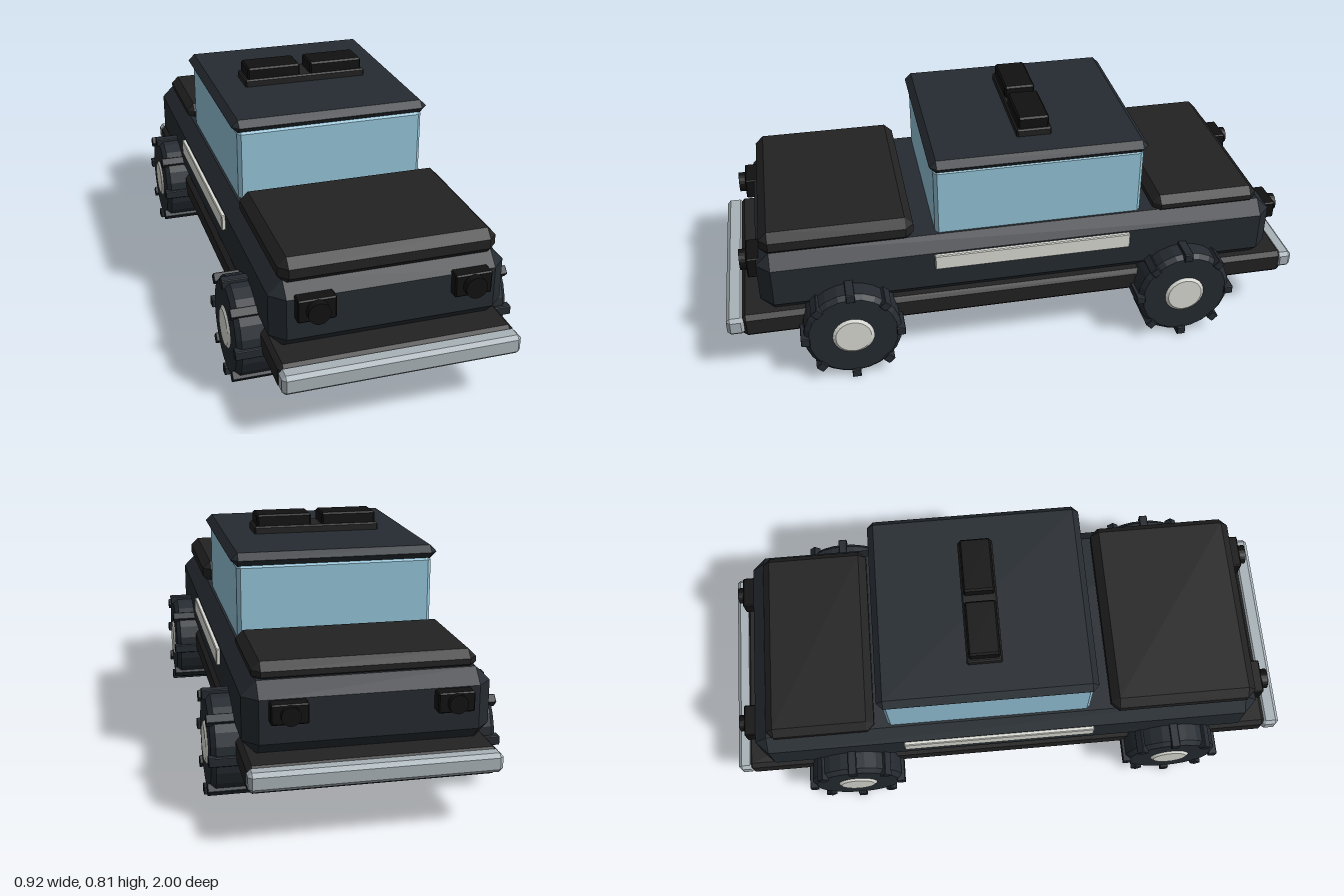
import * as THREE from 'three';
import { ConvexGeometry } from 'three/addons/geometries/ConvexGeometry.js';

const mat = (color) => new THREE.MeshStandardMaterial({ color, flatShading: true });
const paint = mat(0x252b31), black = mat(0x222222), dark = mat(0x111111);
const glass = mat(0x94c4d8), chrome = mat(0xa8b2b8), pale = mat(0xdcdcd6);

// Box with every edge chamfered by b, given as [min, max] per axis
function chamferBox(name, material, [x0, x1], [y0, y1], [z0, z1], b) {
  const h = [(x1 - x0) / 2, (y1 - y0) / 2, (z1 - z0) / 2];
  const pts = [];
  for (let axis = 0; axis < 3; axis++)
    for (const sx of [-1, 1]) for (const sy of [-1, 1]) for (const sz of [-1, 1]) {
      const p = [sx, sy, sz].map((s, i) => s * (i === axis ? h[i] : h[i] - b));
      pts.push(new THREE.Vector3(...p));
    }
  const mesh = new THREE.Mesh(new ConvexGeometry(pts), material);
  mesh.name = name;
  mesh.position.set((x0 + x1) / 2, (y0 + y1) / 2, (z0 + z1) / 2);
  return mesh;
}

// Turned part around the x axis from [radius, x] pairs
function turned(name, material, profile, sides) {
  const pts = profile.map(([r, x]) => new THREE.Vector2(r, x));
  const mesh = new THREE.Mesh(new THREE.LatheGeometry(pts, sides), material);
  mesh.name = name;
  mesh.rotation.z = -Math.PI / 2;
  return mesh;
}

function wheel(name) {
  const g = new THREE.Group();
  g.name = name;
  g.add(turned('tire', paint,
    [[0, -0.07], [0.15, -0.07], [0.165, -0.055], [0.165, 0.055], [0.15, 0.07], [0, 0.07]], 24));
  g.add(turned('hub', pale,
    [[0, -0.077], [0.06, -0.077], [0.07, -0.07], [0.07, 0.07], [0.06, 0.077], [0, 0.077]], 24));
  // Tread blocks
  for (let i = 0; i < 8; i++) {
    const a = (i * Math.PI) / 4;
    const block = chamferBox('tread', paint, [-0.08, 0.08], [-0.015, 0.015], [-0.015, 0.015], 0.002);
    block.position.set(0, 0.16 * Math.cos(a), 0.16 * Math.sin(a));
    block.rotation.x = a;
    g.add(block);
  }
  return g;
}

// Square housing with a round lens, facing dir along z
function lamp(name, x, y, z, dir) {
  const g = new THREE.Group();
  g.name = name;
  const hh = dir > 0 ? 0.037 : 0.031, hw = dir > 0 ? 0.06 : 0.056;
  g.add(chamferBox('lampHousing', dark, [-hw, hw], [-hh, hh], [-0.04, 0.035], 0.004));
  const lens = new THREE.Mesh(new THREE.CylinderGeometry(hh - 0.002, hh - 0.002, 0.05, 20), dark);
  lens.name = 'lampLens';
  lens.rotation.x = Math.PI / 2;
  lens.position.z = dir * 0.033;
  g.add(lens);
  g.position.set(x, y, z);
  return g;
}

export function createModel() {
  const car = new THREE.Group();
  car.name = 'car';
  const box = (...args) => car.add(chamferBox(...args));

  // Body and chassis
  box('chassis', black, [-0.375, 0.375], [0.165, 0.25], [-0.965, 0.95], 0.015);
  box('body', paint, [-0.375, 0.375], [0.245, 0.47], [-0.9, 0.88], 0.045);
  box('hood', black, [-0.345, 0.345], [0.455, 0.542], [0.355, 0.862], 0.028);
  box('trunk', black, [-0.34, 0.34], [0.45, 0.517], [-0.85, -0.475], 0.025);

  // Cabin and roof
  box('cabinGlass', glass, [-0.322, 0.322], [0.45, 0.71], [-0.43, 0.283], 0.012);
  box('roof', paint, [-0.34, 0.34], [0.702, 0.747], [-0.443, 0.295], 0.022);
  box('roofLightBase', black, [-0.218, 0.218], [0.74, 0.772], [-0.135, -0.015], 0.005);

  // Bumpers
  box('frontBumper', chrome, [-0.377, 0.377], [0.18, 0.245], [0.94, 1], 0.012);
  box('rearBumper', chrome, [-0.377, 0.377], [0.185, 0.245], [-1, -0.945], 0.012);

  // Mirrored details
  for (const s of [-1, 1]) {
    const side = s > 0 ? 'left' : 'right';
    const cx = s * 0.113;
    box(side + 'RoofLight', dark, [cx - 0.095, cx + 0.095], [0.765, 0.811], [-0.128, -0.022], 0.006);
    box(side + 'SideStrip', pale, [s * 0.379 - 0.009, s * 0.379 + 0.009], [0.365, 0.42], [-0.38, 0.295], 0.003);
    car.add(lamp(side + 'Headlight', s * 0.246, 0.398, 0.877, 1));
    car.add(lamp(side + 'TailLight', s * 0.246, 0.391, -0.9, -1));
    for (const [end, z] of [['Front', 0.587], ['Rear', -0.573]]) {
      const w = wheel(side + end + 'Wheel');
      w.position.set(s * 0.38, 0.18, z);
      car.add(w);
    }
  }
  return car;
}
